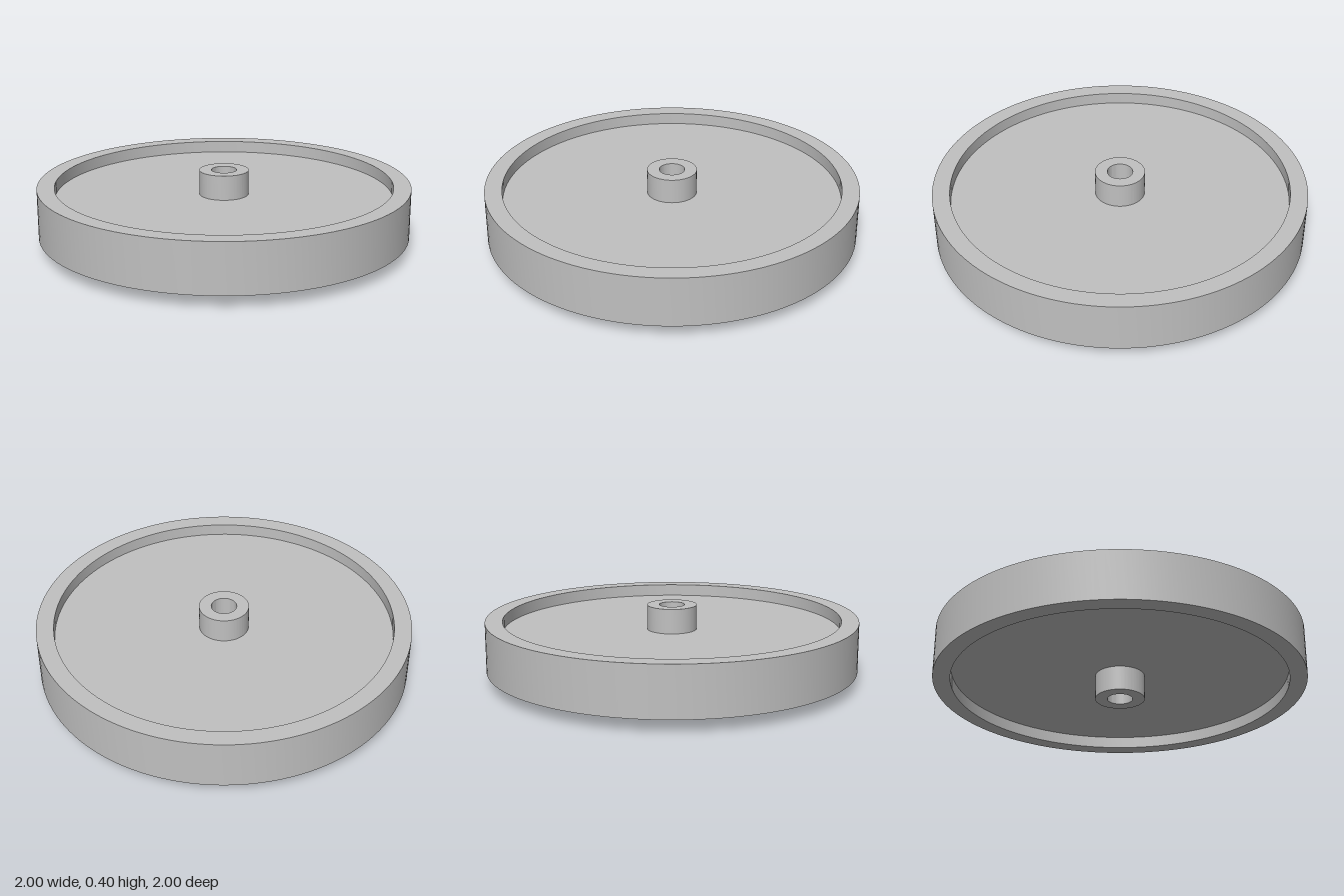
import * as THREE from 'three';
import { toCreasedNormals } from 'three/addons/utils/BufferGeometryUtils.js';

// Radii
const RIM_OUT = 1, RIM_IN = 0.907, HUB = 0.133, BORE = 0.068;
// Heights, symmetric about the mid plane
const HUB_TOP = 0.4, RIM_LOW = 0.067, RIM_TOP = 0.333, WEB_LOW = 0.133, WEB_TOP = 0.267;

export function createModel() {
  const group = new THREE.Group();
  group.name = 'flangedWheel';
  const metal = new THREE.MeshStandardMaterial({ color: 0xc0c0c0 });
  metal.name = 'grey metal';

  // Revolve a [radius, height] profile about y, keeping its corners sharp
  const turn = (name, profile) => {
    const points = profile.map(([r, y]) => new THREE.Vector2(r, y));
    const geometry = toCreasedNormals(new THREE.LatheGeometry(points, 128), 0.6);
    const mesh = new THREE.Mesh(geometry, metal);
    mesh.name = name;
    group.add(mesh);
  };

  // Outer rim, open where the web joins it
  turn('rim', [
    [RIM_IN, WEB_LOW], [RIM_IN, RIM_LOW], [RIM_OUT, RIM_LOW],
    [RIM_OUT, RIM_TOP], [RIM_IN, RIM_TOP], [RIM_IN, WEB_TOP],
  ]);

  // Recessed web between hub and rim
  turn('webUnderside', [[HUB, WEB_LOW], [RIM_IN, WEB_LOW]]);
  turn('webTop', [[RIM_IN, WEB_TOP], [HUB, WEB_TOP]]);

  // Hub sleeve with a through bore, open where the web joins it
  turn('hub', [
    [HUB, WEB_TOP], [HUB, HUB_TOP], [BORE, HUB_TOP],
    [BORE, 0], [HUB, 0], [HUB, WEB_LOW],
  ]);

  return group;
}
